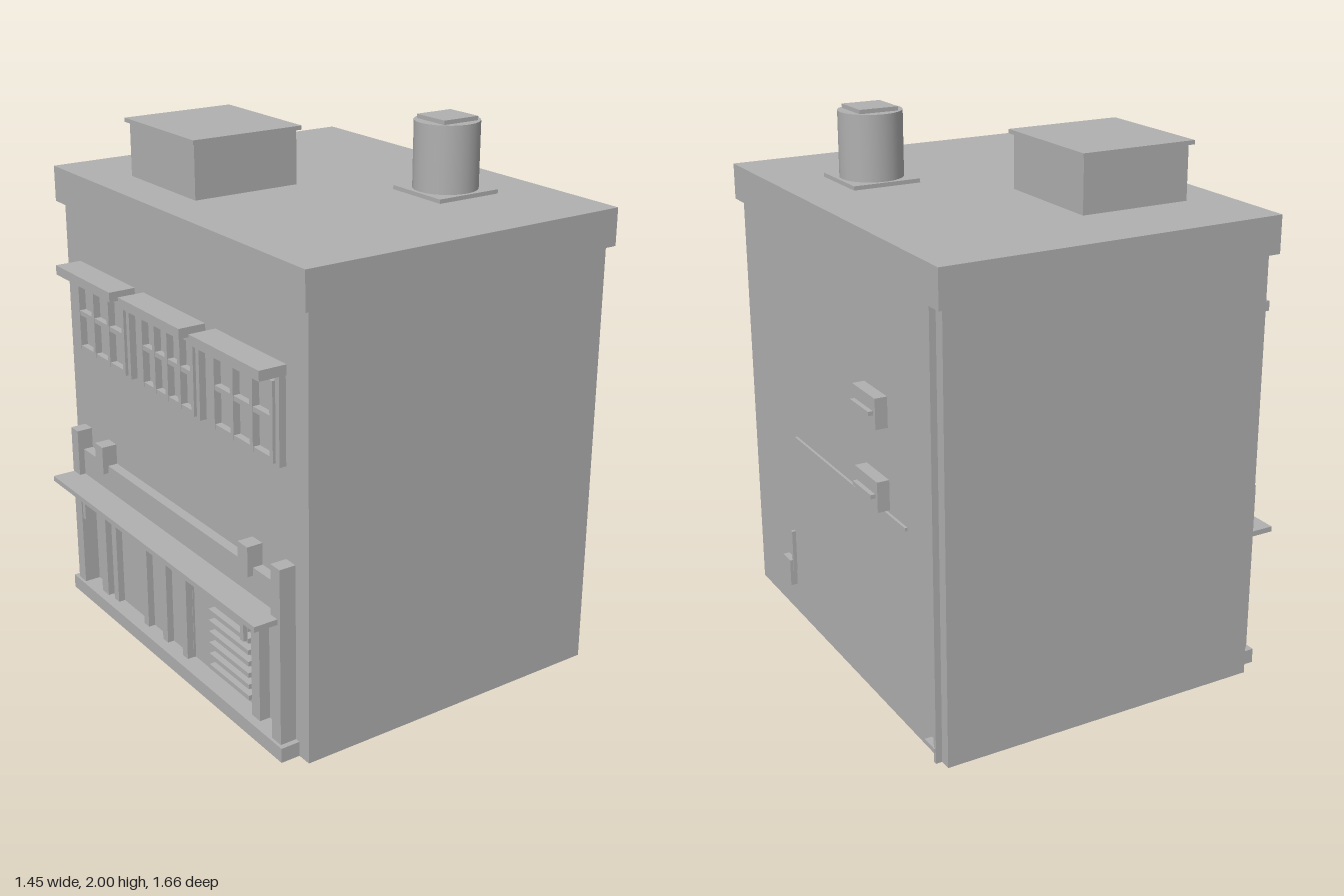
import * as THREE from 'three';

export function createModel() {
  const model = new THREE.Group();
  model.name = 'shopBuilding';
  const grey = new THREE.MeshStandardMaterial({ color: 0xb0b0b0 });
  grey.name = 'plainGrey';

  // Box given by its limits on each axis
  function box(name, x0, x1, y0, y1, z0, z1, parent = model) {
    const mesh = new THREE.Mesh(new THREE.BoxGeometry(x1 - x0, y1 - y0, z1 - z0), grey);
    mesh.position.set((x0 + x1) / 2, (y0 + y1) / 2, (z0 + z1) / 2);
    mesh.name = name;
    parent.add(mesh);
    return mesh;
  }
  function group(name) {
    const g = new THREE.Group();
    g.name = name;
    model.add(g);
    return g;
  }

  // Main block and roof slab
  box('walls', -0.574, 0.66, 0, 1.6, -0.805, 0.81);
  box('roof', -0.6, 0.685, 1.595, 1.73, -0.83, 0.83);

  // Roof hatch
  box('hatch', -0.44, -0.02, 1.73, 1.927, -0.515, -0.065);
  box('hatchLid', -0.45, -0.005, 1.927, 1.942, -0.535, -0.053);

  // Round roof vent
  const vent = group('roofVent');
  box('ventBase', 0.22, 0.48, 1.73, 1.745, 0.19, 0.45, vent);
  const drum = new THREE.Mesh(new THREE.CylinderGeometry(0.117, 0.117, 0.24, 24), grey);
  drum.position.set(0.35, 1.865, 0.32);
  drum.name = 'ventDrum';
  vent.add(drum);
  box('ventCap', 0.275, 0.425, 1.985, 2, 0.245, 0.395, vent);

  // Side wall: wall units, conduit, meter and downpipe
  for (const y of [0.78, 1.077]) {
    const unit = group('wallUnit');
    box('unitCase', 0.655, 0.705, y, y + 0.11, -0.41, -0.236, unit);
    box('unitGrip', 0.7, 0.722, y + 0.047, y + 0.062, -0.394, -0.252, unit);
  }
  box('conduit', 0.655, 0.67, 0.757, 0.769, -0.54, 0.382);
  box('meterBox', 0.655, 0.687, 0.12, 0.227, 0.45, 0.52);
  box('meterPipe', 0.655, 0.675, 0.18, 0.35, 0.445, 0.46);
  box('downpipe', 0.655, 0.683, 0, 1.6, -0.763, -0.748);
  box('downpipeOutlet', 0.655, 0.687, 0.042, 0.057, -0.76, -0.69);

  // Upper windows with sills, frames and glazing bars
  const y0 = 1.04, y1 = 1.365, t = 0.025;
  [[-0.7, 3], [-0.215, 4], [0.27, 3]].forEach(([z0, columns]) => {
    const win = group('upperWindow');
    const z1 = z0 + 0.42;
    box('windowHood', -0.677, -0.57, 1.35, 1.386, z0, z1, win);
    box('glass', -0.584, -0.57, y0, y1, z0 + 0.01, z1 - 0.01, win);
    for (const z of [z0 + 0.005, z1 - t - 0.005]) {
      box('frameSide', -0.6, -0.57, y0, y1, z, z + t, win);
    }
    box('frameBottom', -0.6, -0.57, y0, y0 + t, z0 + 0.005, z1 - 0.005, win);
    for (let i = 0; i <= columns; i++) {
      const z = z0 + 0.035 + (0.35 * i) / columns;
      box('glazingBar', -0.611, -0.58, 1.05, 1.33, z - 0.009, z + 0.009, win);
    }
    for (const y of [1.05, 1.19, 1.312]) {
      box('glazingRail', -0.609, -0.58, y, y + 0.018, z0 + 0.03, z1 - 0.03, win);
    }
  });

  // Shop front: plinth, fascia, pilasters, blocks and canopy
  const shop = group('shopFront');
  box('plinth', -0.647, -0.57, 0, 0.055, -0.76, 0.755, shop);
  box('fascia', -0.612, -0.57, 0.45, 0.63, -0.735, 0.735, shop);
  box('canopy', -0.726, -0.57, 0.505, 0.525, -0.73, 0.72, shop);
  for (const side of [-1, 1]) {
    const span = (name, x0, x1, ya, yb, z, w) =>
      box(name, x0, x1, ya, yb, side * z - w / 2, side * z + w / 2, shop);
    span('pilaster', -0.636, -0.57, 0, 0.71, 0.708, 0.054);
    span('fasciaBlock', -0.634, -0.57, 0.6, 0.71, 0.51, 0.06);
    span('canopyBracket', -0.68, -0.664, 0.39, 0.505, 0.57, 0.02);
    span('doorPost', -0.615, -0.57, 0.05, 0.46, 0.55, 0.05);
  }

  // Shop window bars and panes
  box('shopGlass', -0.582, -0.57, 0.055, 0.45, -0.53, 0.08, shop);
  for (const z of [-0.47, -0.23, -0.085, 0.06]) {
    box('shopWindowPost', -0.608, -0.57, 0.05, 0.46, z - 0.018, z + 0.018, shop);
  }

  // Slatted vent panel
  for (let i = 0; i < 8; i++) {
    const y = 0.09 + i * 0.045;
    box('slat', -0.605, -0.57, y, y + 0.018, 0.23, 0.49, shop);
  }
  return model;
}
